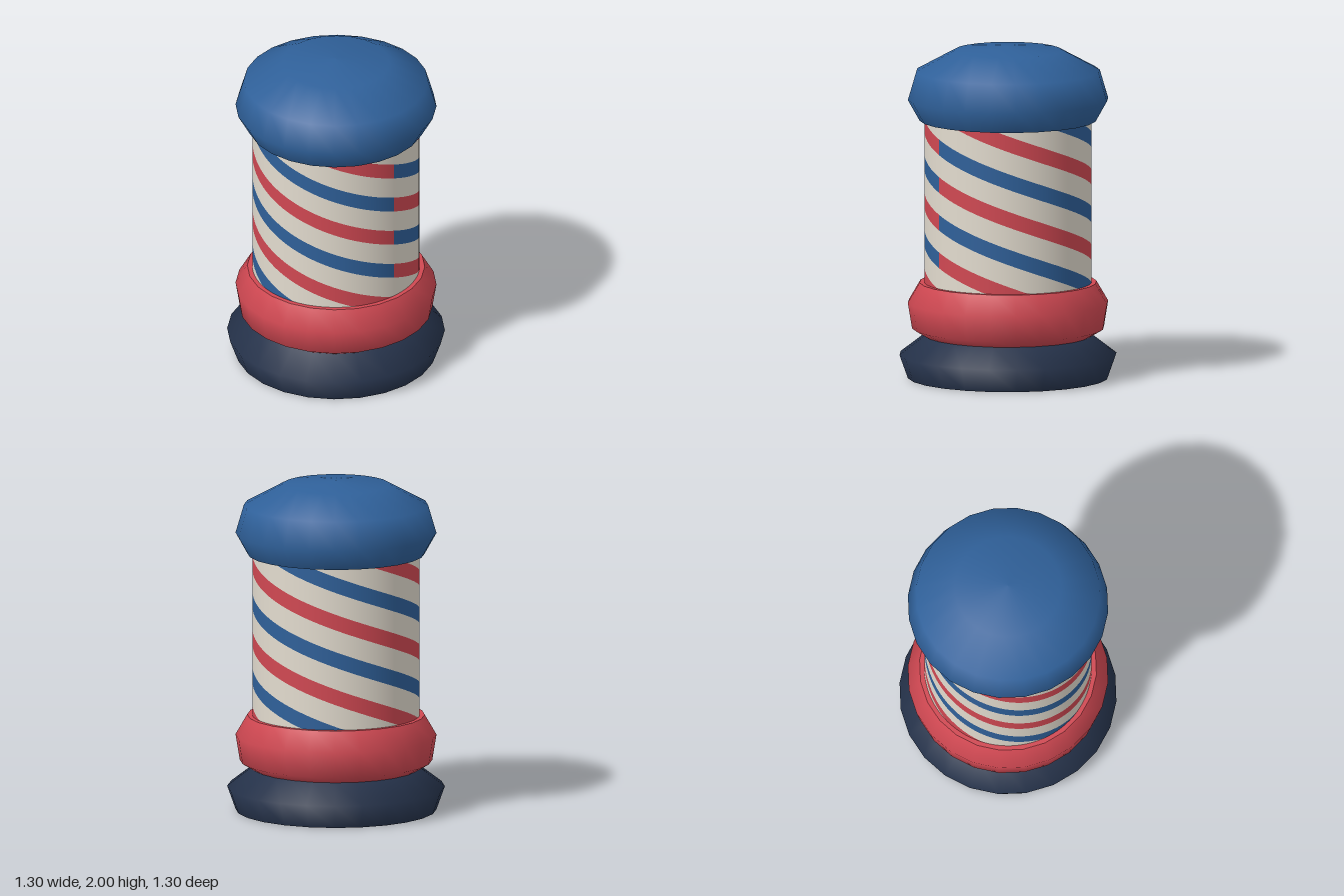
import * as THREE from 'three';

const mat = (name, color, side = THREE.FrontSide) => {
  const m = new THREE.MeshStandardMaterial({ color, side });
  m.name = name;
  return m;
};

export function createModel() {
  const group = new THREE.Group();
  const red = mat('red', 0xd04852);
  const blue = mat('blue', 0x2f6099);
  const cream = mat('cream', 0xe2dbce);
  const navy = mat('navy', 0x25324a);

  const add = (name, geometry, material, y = 0) => {
    const mesh = new THREE.Mesh(geometry, material);
    mesh.name = name;
    mesh.position.y = y;
    group.add(mesh);
    return mesh;
  };

  // Turned part with a smooth side and flat, sharp-edged ends (profile runs upward)
  const turned = (name, profile, material) => {
    const points = profile.map(([x, y]) => new THREE.Vector2(x, y));
    add(name, new THREE.LatheGeometry(points, 24), material);
    const end = (label, [r, y], tilt) => {
      if (r > 0) add(name + label, new THREE.CircleGeometry(r, 24).rotateX(tilt), material, y);
    };
    end('Underside', profile[0], Math.PI / 2);
    end('Top', profile[profile.length - 1], -Math.PI / 2);
  };

  turned('base', [[0.6, 0], [0.65, 0.14], [0.5, 0.255]], navy);
  turned('collar', [[0.5, 0.255], [0.575, 0.3], [0.6, 0.455], [0.53, 0.575]], red);
  turned('cap', [[0.53, 1.555], [0.6, 1.68], [0.55, 1.85], [0.32, 1.975], [0, 2]], blue);

  // Striped column: helical bands between two heights, with the seam on +x
  const R = 0.5, BOTTOM = 0.575, TOP = 1.555;
  const SEGMENTS = 96, PERIOD = 0.455, RISE = PERIOD * 2.5, HALF = 0.0475;
  const START = 0.975; // height of a red stripe's middle at the seam

  // Bands of one colour, each from offset lo to hi within the repeating period
  const bands = (ranges) => {
    const positions = [], normals = [];
    const corner = (i, offset) => {
      const t = (i / SEGMENTS) * Math.PI * 2;
      const y = START + offset + (RISE * i) / SEGMENTS;
      return [R * Math.cos(t), THREE.MathUtils.clamp(y, BOTTOM, TOP), R * Math.sin(t)];
    };
    for (let k = -6; k <= 3; k++) {
      for (const [lo, hi] of ranges) {
        for (let i = 0; i < SEGMENTS; i++) {
          const a = corner(i + 1, k * PERIOD + lo), b = corner(i, k * PERIOD + lo);
          const c = corner(i, k * PERIOD + hi), d = corner(i + 1, k * PERIOD + hi);
          if (c[1] - b[1] < 1e-6 && d[1] - a[1] < 1e-6) continue;
          for (const p of [a, b, c, a, c, d]) {
            positions.push(...p);
            normals.push(p[0] / R, 0, p[2] / R);
          }
        }
      }
    }
    const g = new THREE.BufferGeometry();
    g.setAttribute('position', new THREE.Float32BufferAttribute(positions, 3));
    g.setAttribute('normal', new THREE.Float32BufferAttribute(normals, 3));
    return g;
  };

  const mid = PERIOD / 2;
  add('redStripes', bands([[-HALF, HALF]]), red);
  add('blueStripes', bands([[mid - HALF, mid + HALF]]), blue);
  add('columnGround', bands([[HALF, mid - HALF], [mid + HALF, PERIOD - HALF]]), cream);

  return group;
}
